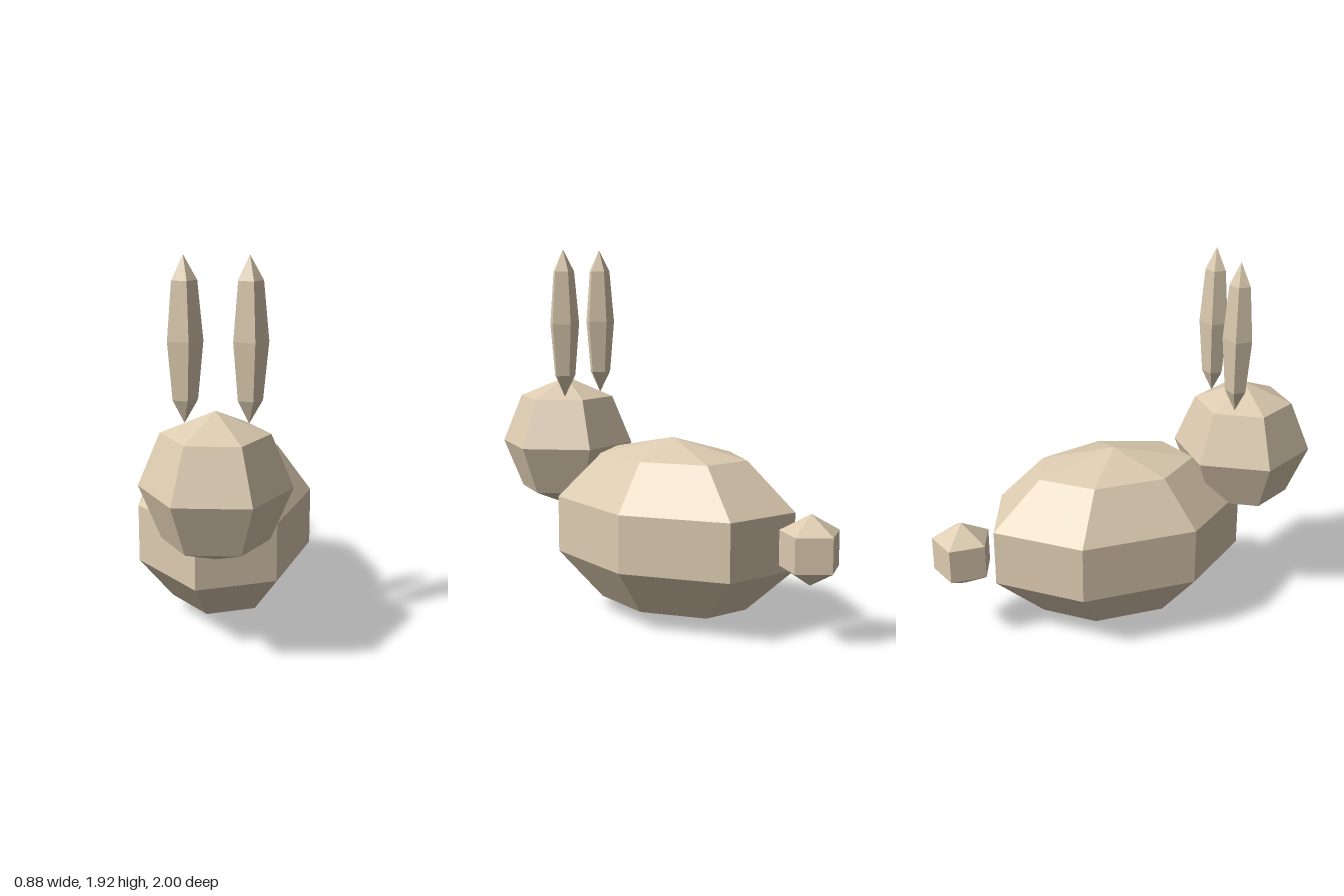
import * as THREE from 'three';

export function createModel() {
  const model = new THREE.Group();
  model.name = 'rabbit';
  const fur = new THREE.MeshStandardMaterial({ color: 0xdccbb0, flatShading: true });
  fur.name = 'beige fur';

  // Faceted ellipsoid with its first meridian on +x
  function ball(name, sides, rings, radii, position) {
    const geometry = new THREE.SphereGeometry(1, sides, rings, Math.PI);
    geometry.scale(...radii);
    const mesh = new THREE.Mesh(geometry, fur);
    mesh.name = name;
    mesh.position.set(...position);
    model.add(mesh);
  }

  ball('body', 7, 5, [0.484, 0.48, 0.726], [-0.026, 0.486, -0.036]);
  ball('head', 6, 4, [0.36, 0.36, 0.36], [-0.026, 0.88, 0.685]);
  ball('tail', 5, 3, [0.178, 0.178, 0.178], [-0.026, 0.487, -0.852]);

  // Upright ears, either side of the head centre
  for (const [name, side] of [['leftEar', 1], ['rightEar', -1]]) {
    ball(name, 5, 4, [0.09, 0.39, 0.075], [-0.026 + side * 0.15, 1.54, 0.568]);
  }
  return model;
}
